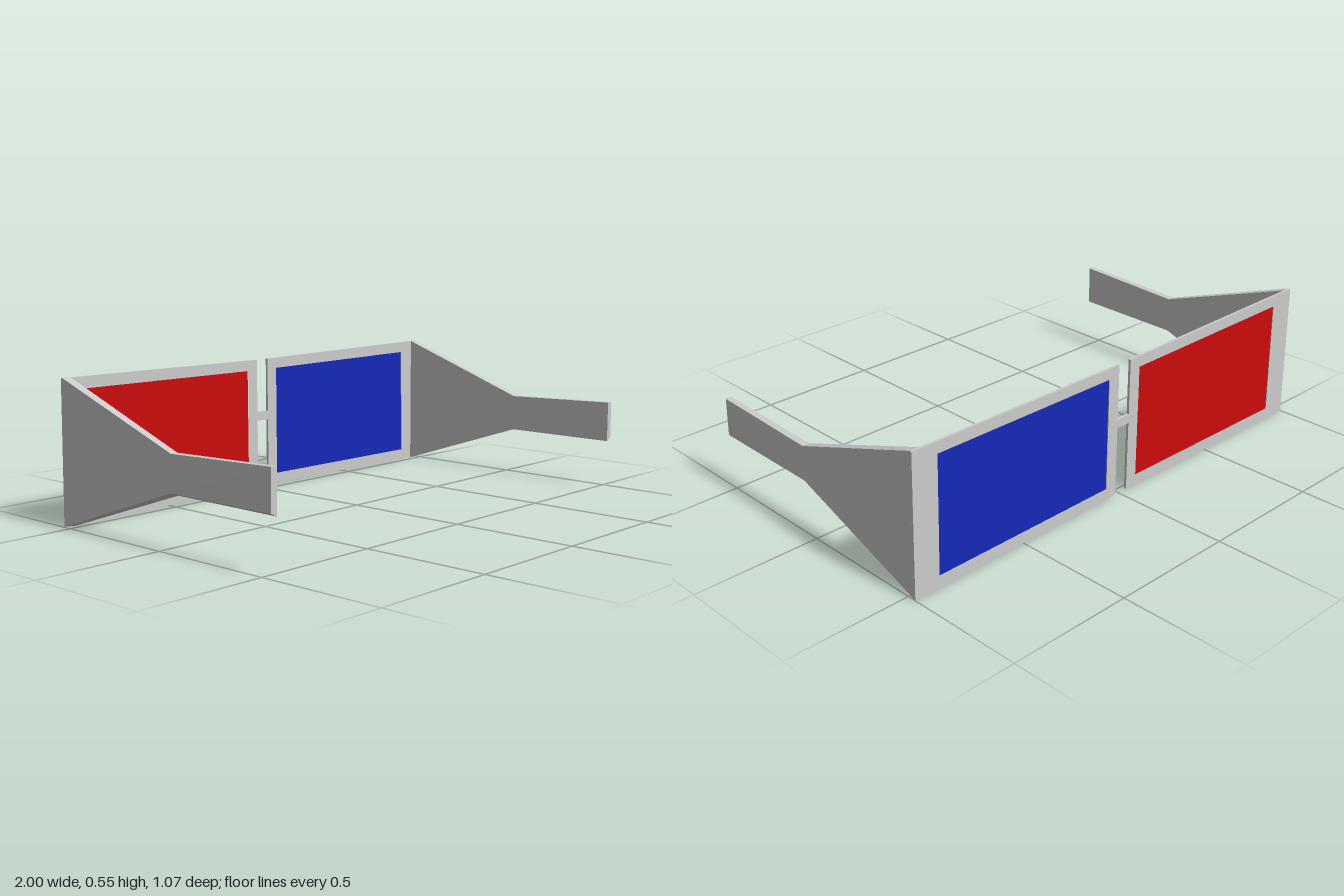
import * as THREE from 'three';

const grey = new THREE.MeshStandardMaterial({ color: 0xcccccc, flatShading: true });
const red = new THREE.MeshStandardMaterial({ color: 0xcc0c0c, flatShading: true });
const blue = new THREE.MeshStandardMaterial({ color: 0x1428b8, flatShading: true });

const BACK = -0.535, THICK = 0.01;

function add(parent, name, geometry, material) {
  const mesh = new THREE.Mesh(geometry, material);
  mesh.name = name;
  parent.add(mesh);
  return mesh;
}

// Flat plate cut from an outline, with an optional hole
function plate(points, depth, z, hole) {
  const toVec = ([x, y]) => new THREE.Vector2(x, y);
  const shape = new THREE.Shape(points.map(toVec));
  if (hole) shape.holes.push(new THREE.Path(hole.map(toVec)));
  return new THREE.ExtrudeGeometry(shape, { depth, bevelEnabled: false }).translate(0, 0, z);
}

// Arm lofted through four-cornered sections: wide at the hinge, narrow at the ear
function armGeometry(side) {
  // z, inner x, outer x at bottom, outer x at top, inner bottom y, outer bottom y, top y
  const sections = [
    [BACK + THICK, 0.957, 1.0, 0.993, 0.0, 0.004, 0.548],
    [0.06, 0.961, 0.994, 0.99, 0.195, 0.208, 0.342],
    [0.535, 0.964, 0.99, 0.988, 0.195, 0.208, 0.357],
  ];
  const pos = [], index = [];
  for (const [z, inner, outBottom, outTop, yIn, yOut, top] of sections) {
    for (const [x, y] of [[outBottom, yOut], [outTop, top], [inner, top], [inner, yIn]]) {
      pos.push(side * x, y, z);
    }
  }
  const tri = (a, b, c) => index.push(...(side > 0 ? [a, b, c] : [a, c, b]));
  const last = (sections.length - 1) * 4;
  for (let s = 0; s < last; s += 4) {
    for (let j = 0; j < 4; j++) {
      const k = (j + 1) % 4;
      tri(s + j, s + k, s + 4 + k);
      tri(s + j, s + 4 + k, s + 4 + j);
    }
  }
  tri(0, 2, 1); tri(0, 3, 2);
  tri(last, last + 1, last + 2); tri(last, last + 2, last + 3);
  const geo = new THREE.BufferGeometry();
  geo.setAttribute('position', new THREE.Float32BufferAttribute(pos, 3));
  geo.setIndex(index);
  const flat = geo.toNonIndexed();
  flat.computeVertexNormals();
  return flat;
}

export function createModel() {
  const model = new THREE.Group();
  model.name = 'glasses';

  for (const side of [1, -1]) {
    const label = side > 0 ? 'left' : 'right';
    const mirror = (pts) => pts.map(([x, y]) => [side * x, y]);

    // Rim around one lens
    const outline = mirror([[0.03, 0.01], [1.0, 0.0], [0.993, 0.548], [0.03, 0.538]]);
    const opening = mirror([[0.08, 0.05], [0.893, 0.046], [0.887, 0.502], [0.08, 0.496]]);
    add(model, `${label}Rim`, plate(outline, THICK, BACK, opening), grey);

    // Tinted lens set inside the rim
    add(model, `${label}Lens`, plate(opening, 0.004, BACK + 0.003), side > 0 ? blue : red);

    // Arm reaching forward from the outer edge
    add(model, `${label}Arm`, armGeometry(side), grey);
  }

  // Bridge joining the two rims
  add(model, 'bridge', new THREE.BoxGeometry(0.06, 0.036, THICK), grey)
    .position.set(0, 0.303, BACK + THICK / 2);

  return model;
}
